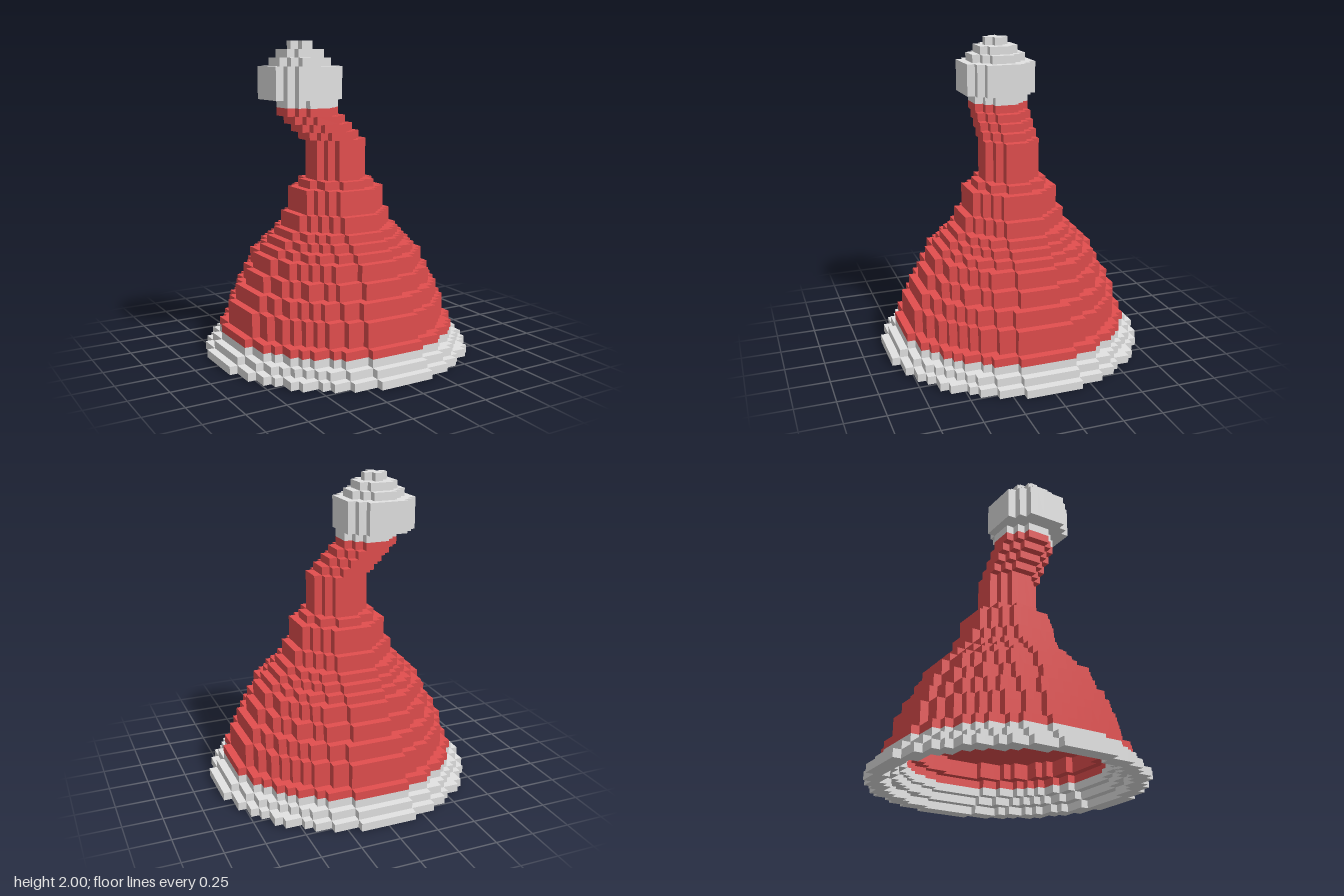
import * as THREE from 'three';

const V = 2 / 39; // size of one block

// Stair-stepped outline of a disc of blocks
function discPoints(radius) {
  const n = Math.floor(radius), pts = [];
  const half = (k) => Math.floor(Math.sqrt(radius * radius - k * k)) + 0.5;
  for (const s of [1, -1]) {
    for (let i = -n; i <= n; i++) {
      const k = i * s, w = half(k) * s;
      for (const p of [[w, k - s / 2], [w, k + s / 2]]) {
        const last = pts[pts.length - 1];
        if (!last || last.x !== p[0] || last.y !== p[1]) pts.push(new THREE.Vector2(p[0], p[1]));
      }
    }
  }
  return pts;
}

// One slab of blocks from layer y0 to y1, optionally hollow
function slab(group, name, material, y0, y1, radius, inner = 0, cx = 0) {
  const shape = new THREE.Shape(discPoints(radius));
  if (inner) shape.holes.push(new THREE.Path(discPoints(inner)));
  const geo = new THREE.ExtrudeGeometry(shape, { depth: y1 - y0, bevelEnabled: false });
  geo.rotateX(-Math.PI / 2);
  geo.translate(cx, y0, 0);
  geo.scale(V, V, V);
  const mesh = new THREE.Mesh(geo, material);
  mesh.name = name;
  group.add(mesh);
}

export function createModel() {
  const red = new THREE.MeshStandardMaterial({ color: 0xe34e4e });
  red.name = 'red felt';
  const grey = new THREE.MeshStandardMaterial({ color: 0xe3e3e3 });
  grey.name = 'pale fur';

  const model = new THREE.Group();
  model.name = 'blockHat';
  const part = (name) => {
    const g = new THREE.Group();
    g.name = name;
    model.add(g);
    return g;
  };

  // Fur brim, open underneath with stepped inside
  const brim = part('brim');
  for (let i = 0; i < 3; i++) slab(brim, 'brimRing', grey, i, i + 1, 16.4 - i, 14.4 - i);

  // Cone: [bottom layer, top layer, radius, inner radius]
  const cone = part('cone');
  const tiers = [
    [3, 4, 14, 12], [4, 6, 13, 11], [6, 7, 13], [7, 9, 12], [9, 11, 11], [11, 13, 10],
    [13, 14, 9], [14, 15, 8], [15, 16, 7], [16, 18, 6], [18, 21, 5], [21, 22, 4], [22, 27, 3],
  ];
  for (const [y0, y1, r, inner] of tiers) {
    slab(cone, 'coneTier', red, y0, y1, r + 0.4, inner ? inner + 0.4 : 0);
  }

  // Tip leaning to one side, one block per layer
  const tip = part('bentTip');
  for (let i = 1; i <= 4; i++) slab(tip, 'tipLayer', red, 26 + i, 27 + i, 3.4, 0, -i);

  // Pompom
  const pompom = part('pompom');
  slab(pompom, 'pompomBase', grey, 31, 32, 3.4, 0, -4);
  slab(pompom, 'pompomMiddle', grey, 32, 36, 4.5, 0, -5);
  for (let i = 0; i < 3; i++) slab(pompom, 'pompomTop', grey, 36 + i, 37 + i, 3.4 - i, 0, -5);

  return model;
}
